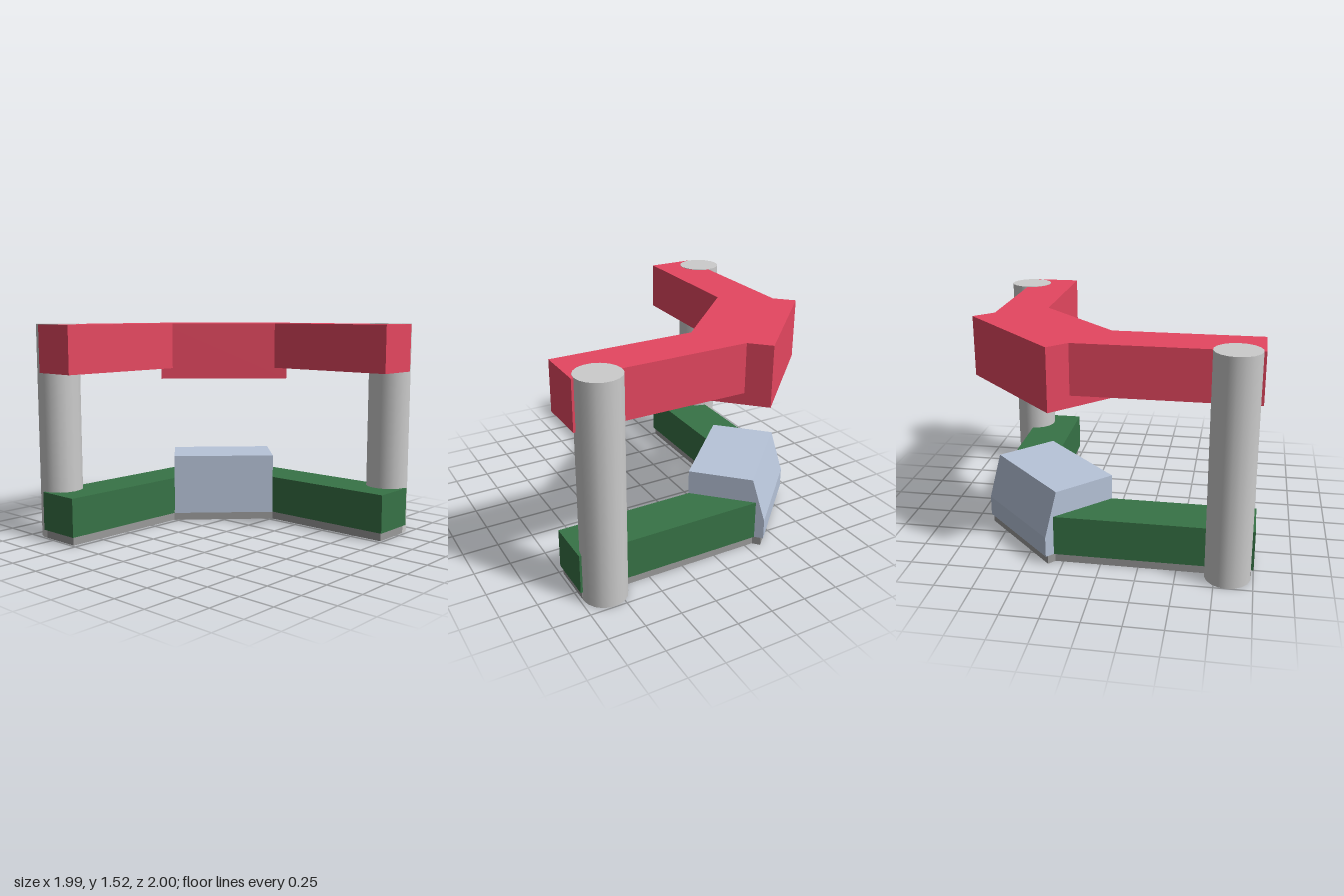
import * as THREE from 'three';

const material = (color) => new THREE.MeshStandardMaterial({ color, flatShading: true });

export function createModel() {
  const model = new THREE.Group();
  const red = material(0xe54760);
  const green = material(0x377346);
  const blue = material(0xb7c4d9);
  const baseGrey = material(0x9a9a9a);
  const columnGrey = new THREE.MeshStandardMaterial({ color: 0xcccccc });

  const add = (name, geometry, mat) => {
    const mesh = new THREE.Mesh(geometry, mat);
    mesh.name = name;
    model.add(mesh);
    return mesh;
  };
  // Upright prism from a floor plan of [x, z] points
  const slab = (name, plan, bottom, top, mat) => {
    const shape = new THREE.Shape(plan.map(([x, z]) => new THREE.Vector2(x, z)));
    const geometry = new THREE.ExtrudeGeometry(shape, { depth: top - bottom, bevelEnabled: false });
    geometry.rotateX(Math.PI / 2).translate(0, top, 0);
    return add(name, geometry, mat);
  };
  // Reflection across the diagonal that swaps the two wings
  const swap = ([x, z]) => [-z - 0.005, -x - 0.005];

  const beamPlan = [[-1, -0.85], [-1, -0.52], [0.2, -0.52], [0.2, -0.85]];
  const counterPlan = [[-1, -0.85], [-1, -0.52], [-0.025, -0.52], [0.31, -0.85]];
  const halfBase = [[0.345, -0.88], [0.305, -0.835], [-0.985, -0.835], [-0.985, -0.535], [-0.01, -0.535]];
  const columnSpot = [-0.835, -0.85];

  // The two wings: column, upper beam and lower counter
  for (const [side, map] of [['right', (p) => p], ['left', swap]]) {
    slab(side + 'UpperBeam', beamPlan.map(map), 1.18, 1.515, red);
    slab(side + 'Counter', counterPlan.map(map), 0.06, 0.335, green);
    const [x, z] = map(columnSpot);
    const column = add(side + 'Column', new THREE.CylinderGeometry(0.15, 0.15, 1.518, 18), columnGrey);
    column.position.set(x, 0.759, z);
  }

  // Deeper diagonal block joining the upper beams
  slab('cornerUpperBlock', [[-0.09, -0.58], [0.58, 0.09], [0.965, -0.295], [0.295, -0.965]], 1.1, 1.515, red);

  // Recessed plinth under both counters and the corner
  slab('plinth', [...halfBase, ...halfBase.map(swap).reverse()], 0, 0.06, baseGrey);

  // Corner counter with a sloped outer face, turned along the diagonal
  const profile = new THREE.Shape([[0, 0.06], [0.537, 0.06], [0.537, 0.2], [0.4455, 0.505], [0, 0.505]]
    .map(([u, y]) => new THREE.Vector2(u, y)));
  const corner = add('cornerCounter',
    new THREE.ExtrudeGeometry(profile, { depth: 0.757, bevelEnabled: false }), blue);
  corner.rotation.y = Math.PI / 4;
  corner.position.set(-0.025, 0, -0.515);

  return model;
}
